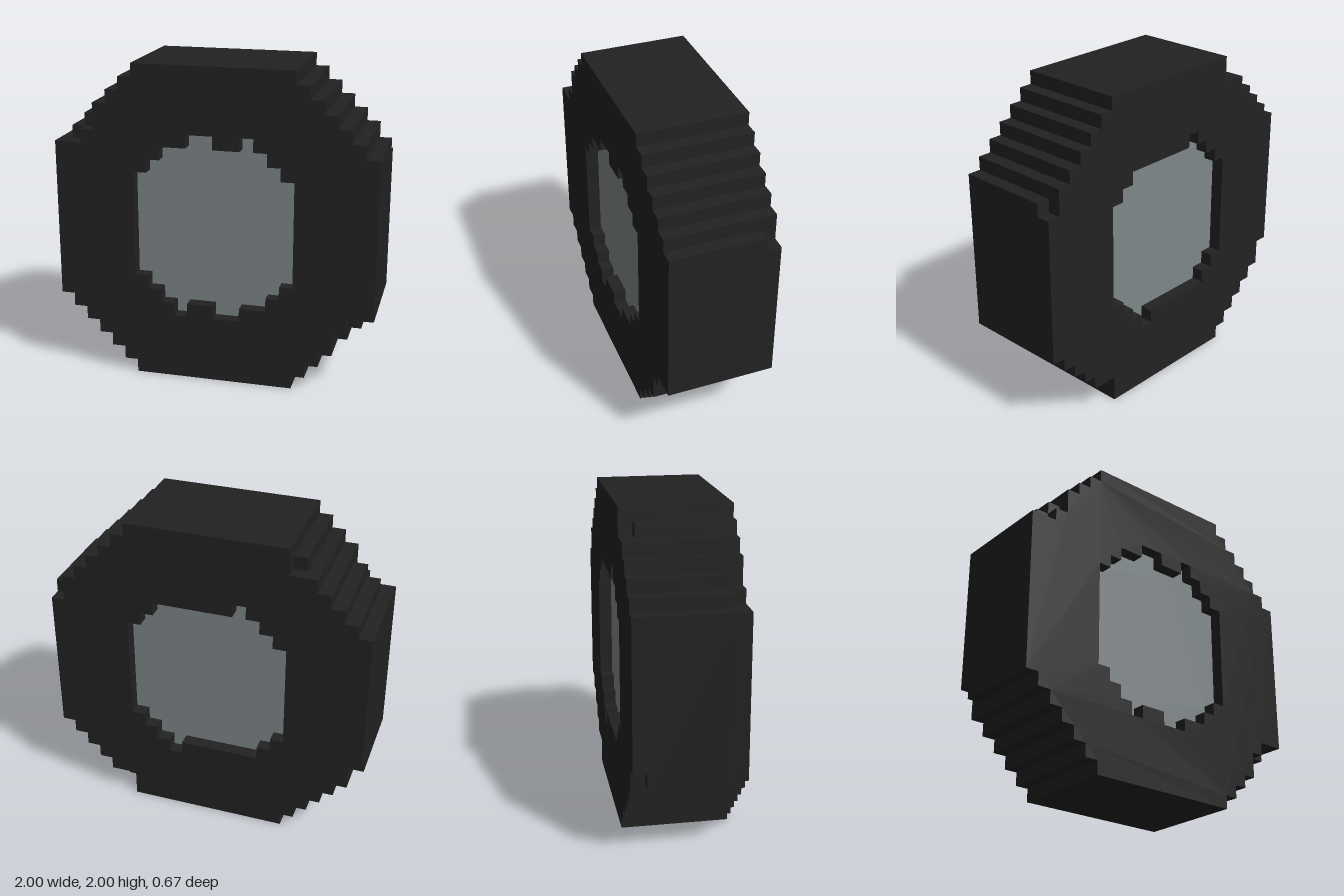
import * as THREE from 'three';

const U = 1 / 12; // one block

// Complete a half polygon with its copy turned 180 degrees, dropping collinear points.
function turned(half) {
  const p = [...half, ...half.map(([x, y]) => [-x, -y])];
  const n = p.length;
  return p.filter(([x, y], i) => {
    const [ax, ay] = p[(i + n - 1) % n], [bx, by] = p[(i + 1) % n];
    return (x - ax) * (by - y) !== (y - ay) * (bx - x);
  }).map(([x, y]) => new THREE.Vector2(x * U, y * U));
}

// Stepped outline from the block extents of the upper twelve rows.
function outline(right, left) {
  const half = [];
  right.forEach((r, j) => half.push([r, j], [r, j + 1]));
  for (let j = left.length - 1; j >= 0; j--) half.push([-left[j], j + 1], [-left[j], j]);
  return turned(half);
}

export function createModel() {
  const rubber = new THREE.MeshStandardMaterial({ color: 0x222222 });
  rubber.name = 'black rubber';
  const metal = new THREE.MeshStandardMaterial({ color: 0x7f8789 });
  metal.name = 'grey metal';

  const wheel = new THREE.Group();
  wheel.name = 'wheel';

  function slab(name, points, hole, z, depth, material) {
    const shape = new THREE.Shape(points);
    if (hole) shape.holes.push(new THREE.Path(hole));
    const mesh = new THREE.Mesh(
      new THREE.ExtrudeGeometry(shape, { depth, bevelEnabled: false }), material);
    mesh.name = name;
    mesh.position.set(0, 1, z);
    wheel.add(mesh);
  }

  // Row extents, with the missing corner blocks on the front and back layers
  const full = [12, 12, 12, 12, 12, 12, 11, 10, 9, 8, 7, 6];
  const frontLeft = full.with(6, 10).with(7, 9);
  const backRight = full.with(5, 11);
  const backLeft = full.with(10, 6);

  // Hub openings
  const cornerR = [[6, 4], [5, 4], [5, 5], [4, 5], [4, 6]];
  const cornerL = cornerR.map(([x, y]) => [-x, y]).reverse();
  const frontHole = turned([...cornerR,
    [3, 6], [3, 7], [2, 7], [2, 6], [0, 6], [0, 7], [-2, 7], [-2, 6], ...cornerL]);
  const backHole = turned([...cornerR, [-2, 6], [-2, 7], [-3, 7], [-3, 6], ...cornerL]);

  // Tyre: solid core between two open side walls
  slab('tyreCore', outline(full, full), null, -3 * U, 6 * U, rubber);
  slab('frontSidewall', outline(full, frontLeft), frontHole, 3 * U, U, rubber);
  slab('backSidewall', outline(backRight, backLeft), backHole, -4 * U, U, rubber);

  // Recessed hub plates
  const t = 0.003;
  slab('frontHub', frontHole, null, 3 * U, t, metal);
  slab('backHub', backHole, null, -3 * U - t, t, metal);

  return wheel;
}
